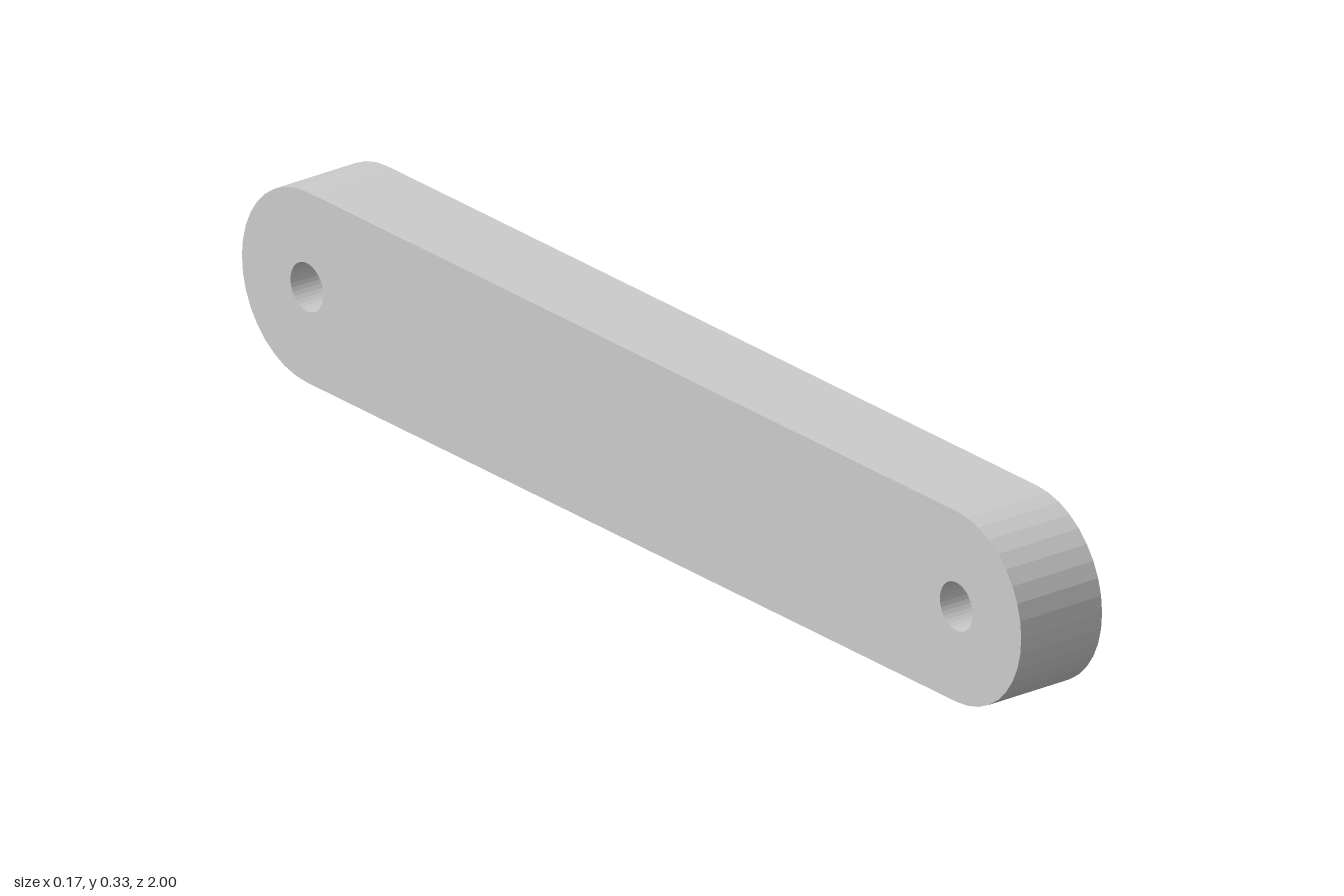
import * as THREE from 'three';

const RADIUS = 1 / 6;       // rounded end radius, also half the bar height
const HOLE = 0.042;         // pin hole radius
const THICKNESS = 1 / 6;
const CENTRE = 1 - RADIUS;  // distance of each hole from the middle

export function createModel() {
  const group = new THREE.Group();
  group.name = 'linkBar';

  // Stadium outline with a semicircle at each end
  const outline = new THREE.Shape();
  outline.absarc(CENTRE, RADIUS, RADIUS, -Math.PI / 2, Math.PI / 2);
  outline.absarc(-CENTRE, RADIUS, RADIUS, Math.PI / 2, Math.PI * 1.5);
  outline.closePath();

  // Pin hole at each end, drawn as two half circles
  for (const side of [-1, 1]) {
    const hole = new THREE.Path();
    hole.absarc(side * CENTRE, RADIUS, HOLE, 0, Math.PI);
    hole.absarc(side * CENTRE, RADIUS, HOLE, Math.PI, Math.PI * 2);
    outline.holes.push(hole);
  }

  // Extrude across the thickness, then turn the length to run along z
  const geometry = new THREE.ExtrudeGeometry(outline, {
    depth: THICKNESS, bevelEnabled: false, curveSegments: 9,
  });
  geometry.translate(0, 0, -THICKNESS / 2);
  geometry.rotateY(Math.PI / 2);

  const bar = new THREE.Mesh(
    geometry,
    new THREE.MeshStandardMaterial({ color: 0xcccccc, flatShading: true }),
  );
  bar.name = 'bar';
  group.add(bar);
  return group;
}
